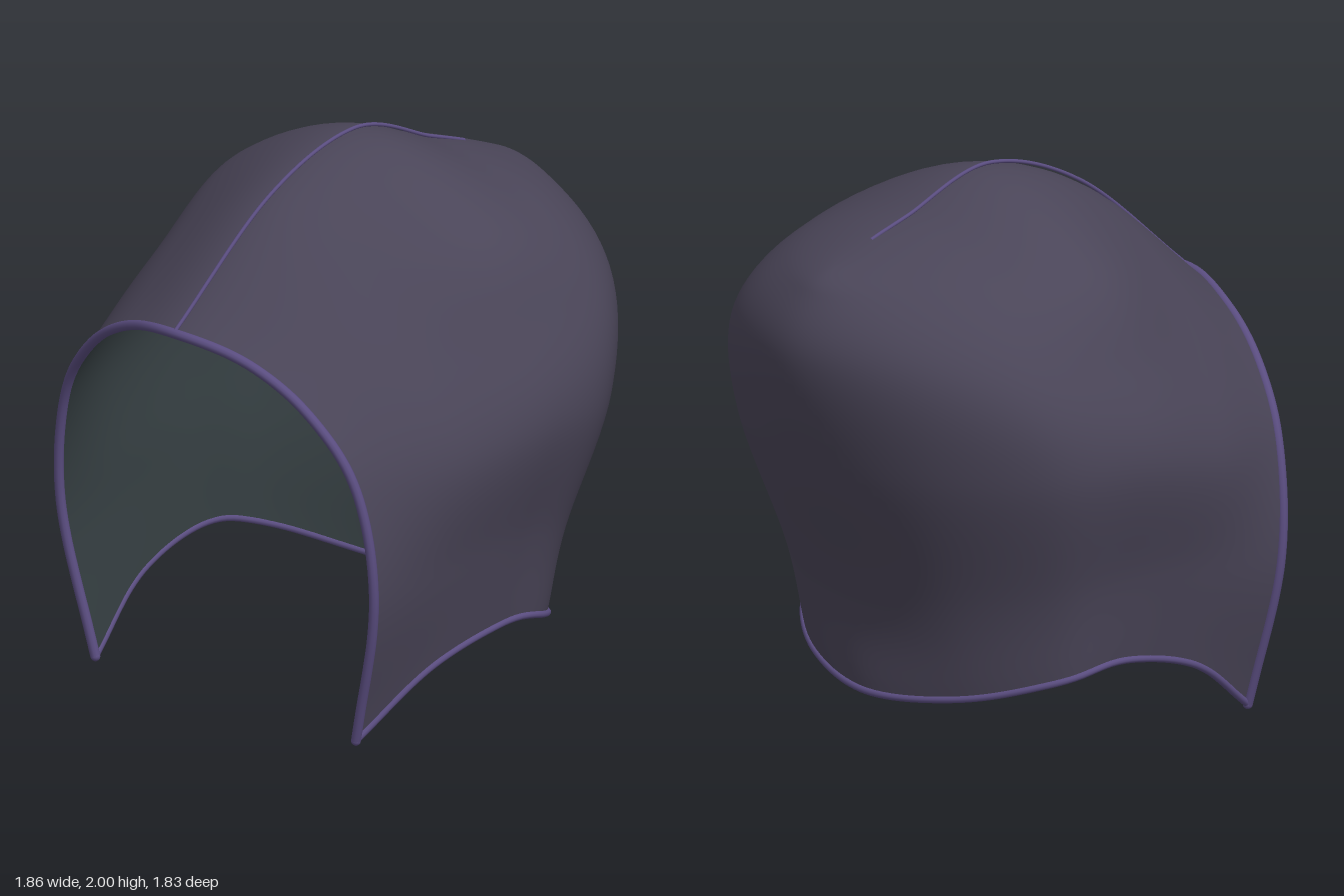
import * as THREE from 'three';
import { mergeVertices } from 'three/addons/utils/BufferGeometryUtils.js';

// Control net of one half: rows climb from hem to crest, columns run from face rim to back centre
const NET = [
  [[.65, .02, .65], [.725, .24, .35], [.755, .335, 0], [.7, .29, -.25], [.41, .2, -.46], [0, .155, -.56]],
  [[.78, .56, .69], [.81, .62, .35], [.82, .65, 0], [.74, .6, -.3], [.42, .55, -.54], [0, .5, -.6]],
  [[.73, .98, .725], [.87, 1.03, .35], [.93, 1.09, -.05], [.84, 1.08, -.42], [.49, 1.06, -.71], [0, 1.05, -.82]],
  [[.55, 1.235, .78], [.7, 1.35, .4], [.82, 1.42, -.03], [.76, 1.44, -.47], [.46, 1.45, -.77], [0, 1.45, -.91]],
  [[.3, 1.385, .84], [.42, 1.63, .43], [.58, 1.76, 0], [.5, 1.735, -.4], [.29, 1.7, -.68], [0, 1.68, -.82]],
  [[0, 1.44, .9], [0, 1.83, .43], [0, 1.98, 0], [0, 1.865, -.37], [0, 1.815, -.54], [0, 1.755, -.71]],
];
const LAST = 5;

// Smooth curve through six points; the far end mirrors across x = 0
function spline(p, t) {
  const i = Math.min(Math.floor(t), LAST - 1), f = t - i;
  const before = i > 0 ? p[i - 1] : p[0].map((c, k) => 2 * c - p[1][k]);
  const after = i + 2 <= LAST ? p[i + 2] : [-p[LAST - 1][0], p[LAST - 1][1], p[LAST - 1][2]];
  return [0, 1, 2].map((k) => {
    const a = before[k], b = p[i][k], c = p[i + 1][k], d = after[k];
    return b + 0.5 * f * (c - a + f * (2 * a - 5 * b + 4 * c - d + f * (3 * (b - c) + d - a)));
  });
}

// Point on the hood: u from left rim (0) round the back (5) to right rim (10), v from hem (0) to crest (5)
function hoodPoint(u, v) {
  const half = u > LAST ? 2 * LAST - u : u;
  const p = spline(NET.map((row) => spline(row, half)), v);
  return new THREE.Vector3(u > LAST ? -p[0] : p[0], p[1], p[2]);
}

function shellGeometry() {
  const nu = 100, nv = 50, pos = [], index = [];
  for (let j = 0; j <= nv; j++) {
    for (let i = 0; i <= nu; i++) {
      pos.push(...hoodPoint(i / nu * 2 * LAST, j / nv * LAST).toArray());
    }
  }
  for (let j = 0; j < nv; j++) {
    for (let i = 0; i < nu; i++) {
      const a = j * (nu + 1) + i, b = a + 1, c = b + nu + 1, d = a + nu + 1;
      index.push(a, b, c, a, c, d);
    }
  }
  let geo = new THREE.BufferGeometry();
  geo.setAttribute('position', new THREE.Float32BufferAttribute(pos, 3));
  geo.setIndex(index);
  geo = mergeVertices(geo, 1e-4); // weld both halves along the crest
  geo.computeVertexNormals();
  return geo;
}

// Copy of the shell moved inward along its normals, facing the wearer
function liningGeometry(shell, inset) {
  const geo = shell.clone();
  const { position, normal } = geo.attributes;
  const p = new THREE.Vector3(), n = new THREE.Vector3();
  for (let i = 0; i < position.count; i++) {
    n.fromBufferAttribute(normal, i);
    p.fromBufferAttribute(position, i).addScaledVector(n, -inset);
    position.setXYZ(i, p.x, p.y, p.z);
  }
  geo.setIndex(Array.from(geo.index.array).reverse());
  geo.computeVertexNormals();
  return geo;
}

export function createModel() {
  const group = new THREE.Group();
  const material = (color) => new THREE.MeshStandardMaterial({ color, side: THREE.DoubleSide });
  const cloth = material(0x4a4558), lining = material(0x323b3e), trim = material(0x5a4d80);

  const add = (name, geo, mat) => {
    const mesh = new THREE.Mesh(geo, mat);
    mesh.name = name;
    group.add(mesh);
    return mesh;
  };
  const cord = (name, points, radius) =>
    add(name, new THREE.TubeGeometry(new THREE.CatmullRomCurve3(points), 120, radius, 10), trim);

  // Cloth shell and its lining
  const shell = shellGeometry();
  add('hoodShell', shell, cloth);
  add('hoodLining', liningGeometry(shell, 0.008), lining);

  // Piping round the face opening and along the hem, seam cord just above the crest
  const rim = [], hem = [], seam = [];
  for (let i = 0; i <= 40; i++) {
    const t = i / 40 * 2 * LAST;
    const p = hoodPoint(0, t > LAST ? 2 * LAST - t : t);
    if (t > LAST) p.x *= -1;
    rim.push(p);
    hem.push(hoodPoint(t, 0));
    const s = i / 10;
    const lift = Math.min(0.013, 0.0065 * (4 - s));
    seam.push(hoodPoint(s, LAST).add(new THREE.Vector3(0, lift, 0)));
  }
  cord('faceRim', rim, 0.018);
  cord('hemPiping', hem, 0.013);
  cord('crestSeam', seam, 0.007);

  // Rounded ends where rim and hem meet
  for (const end of [rim[0], rim[40]]) {
    add('rimTip', new THREE.SphereGeometry(0.018, 12, 8), trim).position.copy(end);
  }

  return group;
}
